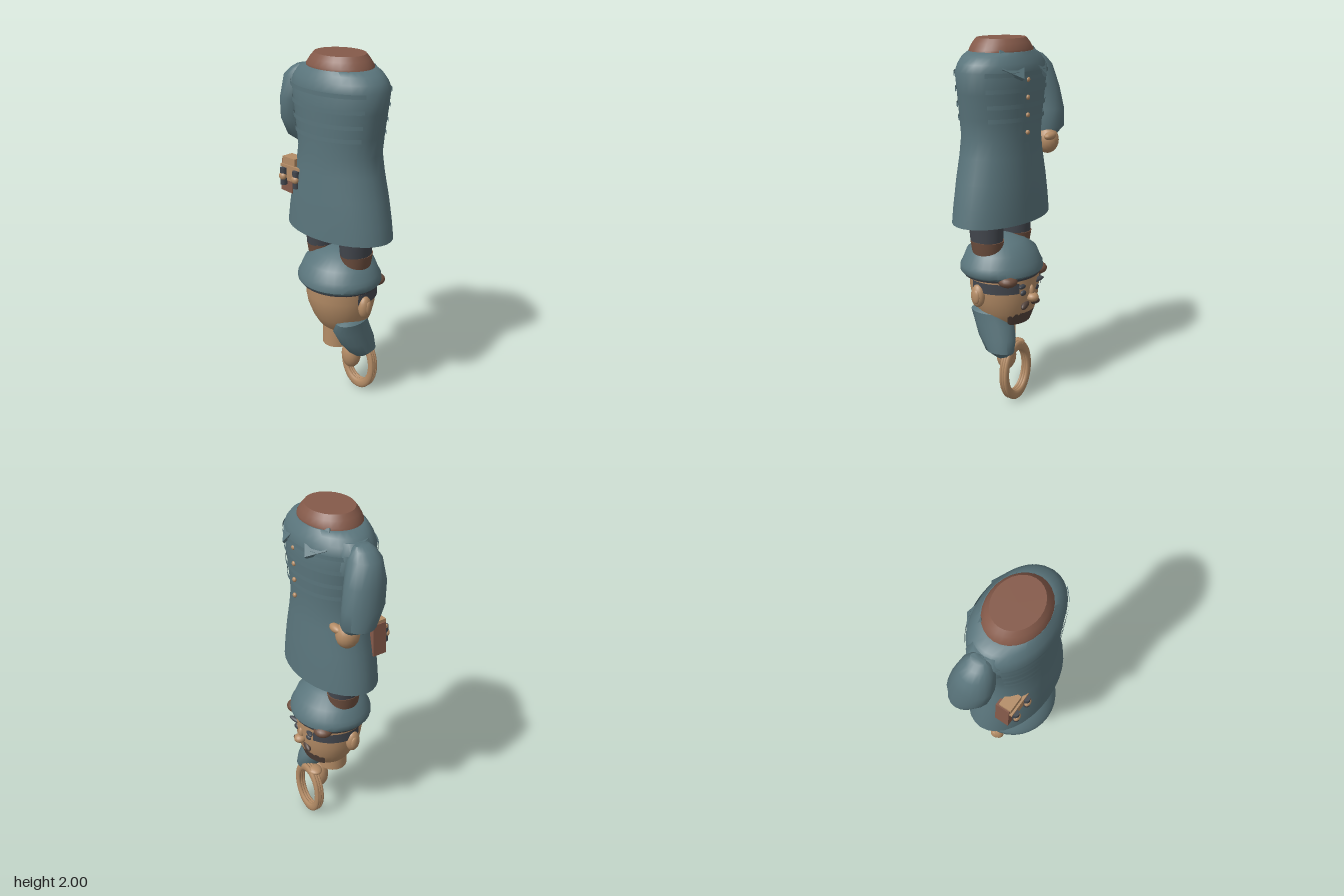
import * as THREE from 'three';
import { toCreasedNormals } from 'three/addons/utils/BufferGeometryUtils.js';

const flat = (name, color, side = THREE.FrontSide) => {
  const m = new THREE.MeshStandardMaterial({ color, side });
  m.name = name;
  return m;
};

export function createModel() {
  const root = new THREE.Group();
  root.name = 'figure';
  const cloth = flat('blue grey cloth', 0x5a757c, THREE.DoubleSide);
  const skin = flat('tan', 0xb48c66);
  const brown = flat('collar brown', 0x855a4a);
  const charcoal = flat('charcoal', 0x43474e, THREE.DoubleSide);
  const boot = flat('boot brown', 0x6e4f3f);
  const stubble = flat('stubble', 0x54443c, THREE.DoubleSide);

  const add = (name, geo, mat, x = 0, y = 0, z = 0) => {
    const m = new THREE.Mesh(geo, mat);
    m.name = name;
    m.position.set(x, y, z);
    root.add(m);
    return m;
  };

  // Closed loft through horizontal ellipses [x, y, z, rx, rz], bottom to top
  const loft = (name, mat, rings, n = 28) => {
    const pos = [], idx = [], top = rings.length - 1;
    for (const [x, y, z, rx, rz] of rings)
      for (let j = 0; j < n; j++) {
        const a = (j / n) * Math.PI * 2;
        pos.push(x + rx * Math.cos(a), y, z + rz * Math.sin(a));
      }
    for (const i of [0, top]) pos.push(...rings[i].slice(0, 3));
    const c = rings.length * n;
    for (let j = 0; j < n; j++) {
      const k = (j + 1) % n;
      for (let i = 0; i < top; i++) {
        const a = i * n + j, b = i * n + k;
        idx.push(a, a + n, b, b, a + n, b + n);
      }
      idx.push(c, j, k, c + 1, top * n + k, top * n + j);
    }
    const g = new THREE.BufferGeometry();
    g.setAttribute('position', new THREE.Float32BufferAttribute(pos, 3));
    g.setIndex(idx);
    return add(name, toCreasedNormals(g, 0.75), mat);
  };

  const ball = (name, mat, x, y, z, rx, ry, rz) => {
    const m = add(name, new THREE.SphereGeometry(1, 18, 12), mat, x, y, z);
    m.scale.set(rx, ry, rz);
    return m;
  };

  // Thin open band on an ellipse; angles in degrees, 0 = +z, 90 = +x
  const band = (name, mat, x, y, z, rx, rz, h, from = 0, to = 360, taper = 1) => {
    const rad = Math.PI / 180;
    const m = add(name, new THREE.CylinderGeometry(1, taper, h, 28, 1, true, from * rad, (to - from) * rad), mat, x, y, z);
    m.scale.set(rx, 1, rz);
    return m;
  };

  const cx = 0.045;

  // Coat, collar and folds
  loft('coat', cloth, [
    [cx, 1.05, 0.01, 0.34, 0.208], [cx, 1.15, 0.01, 0.325, 0.205], [cx, 1.27, 0.01, 0.3, 0.2],
    [cx, 1.4, 0.01, 0.268, 0.19], [cx, 1.5, 0.01, 0.25, 0.186], [cx, 1.6, 0.01, 0.262, 0.19],
    [cx, 1.73, 0.008, 0.283, 0.195], [cx, 1.84, 0.007, 0.3, 0.198], [cx, 1.88, 0.007, 0.28, 0.187],
    [cx, 1.915, 0.008, 0.25, 0.168], [cx, 1.935, 0.008, 0.2, 0.156],
  ], 32);
  loft('collar', brown, [
    [cx, 1.9, 0.01, 0.18, 0.14], [cx, 1.925, 0.01, 0.195, 0.155], [cx, 1.945, 0.01, 0.19, 0.152],
    [cx, 1.975, 0.01, 0.168, 0.138], [cx, 2, 0.01, 0.146, 0.12],
  ]);
  for (const [y, rx, rz] of [[1.83, 0.298, 0.198], [1.75, 0.287, 0.196], [1.67, 0.274, 0.194], [1.6, 0.263, 0.191]])
    for (const mid of [0, 180])
      band('coatFold', cloth, cx, y, 0.008, rx + 0.006, rz + 0.006, 0.022, mid - 62, mid + 62);
  for (const y of [1.8, 1.71, 1.62, 1.53])
    ball('button', skin, 0.08, y, -0.185, 0.013, 0.013, 0.01);

  // Lapels lying on the chest
  for (const s of [-1, 1]) {
    const p = [[0.035, 1.9, -0.16], [0.1, 1.81, -0.208], [0.192, 1.86, -0.14], [0.145, 1.95, -0.09]];
    const v = p.flatMap(([x, y, z]) => [cx + s * x, y, z])
      .concat(p.flatMap(([x, y, z]) => [cx + s * x, y - 0.012, z + 0.012]));
    const g = new THREE.BufferGeometry();
    g.setAttribute('position', new THREE.Float32BufferAttribute(v, 3));
    const f = [0, 1, 2, 0, 2, 3, 4, 6, 5, 4, 7, 6];
    for (let i = 0; i < 4; i++) {
      const k = (i + 1) % 4;
      f.push(i, i + 4, k, k, i + 4, k + 4);
    }
    if (s > 0) f.reverse();
    g.setIndex(f);
    add('lapel', toCreasedNormals(g, 0.3), cloth);
  }

  // Bent arm beside the coat
  loft('rightSleeve', cloth, [
    [-0.265, 1.455, -0.07, 0.045, 0.05], [-0.295, 1.5, -0.055, 0.094, 0.09], [-0.3, 1.6, -0.03, 0.09, 0.115],
    [-0.285, 1.72, -0.01, 0.09, 0.112], [-0.262, 1.84, 0, 0.088, 0.085], [-0.25, 1.88, 0, 0.055, 0.06],
    [-0.245, 1.9, -0.005, 0.025, 0.04],
  ], 18);
  loft('shoulder', cloth, [
    [-0.19, 1.74, 0, 0.06, 0.1], [-0.19, 1.85, 0, 0.08, 0.1], [-0.16, 1.9, 0, 0.07, 0.08],
  ], 16);
  ball('rightHand', skin, -0.25, 1.43, -0.085, 0.06, 0.075, 0.065);
  ball('rightThumb', skin, -0.21, 1.46, -0.13, 0.045, 0.022, 0.025);

  // Pouch with its buckle
  const pouch = add('pouch', new THREE.BoxGeometry(0.085, 0.18, 0.08), brown, -0.205, 1.32, 0.12);
  pouch.rotation.z = -0.06;
  add('pouchFlap', new THREE.BoxGeometry(0.095, 0.045, 0.07), skin, -0.187, 1.405, 0.13);
  add('bucklePlate', new THREE.BoxGeometry(0.08, 0.085, 0.015), skin, -0.165, 1.345, 0.168);
  add('buckleBar', new THREE.BoxGeometry(0.15, 0.015, 0.016), skin, -0.165, 1.38, 0.168);
  for (const x of [-0.21, -0.115]) {
    add('bucklePin', new THREE.CylinderGeometry(0.019, 0.019, 0.095, 10), charcoal, x, 1.325, 0.18);
    ball('buckleKnob', skin, x, 1.325, 0.188, 0.024, 0.022, 0.017);
  }

  // Legs
  for (const s of [-1, 1]) {
    const x = cx + s * 0.127;
    loft('trouserLeg', charcoal, [[x, 0.935, 0.015, 0.081, 0.092], [x, 1.1, 0.02, 0.094, 0.102]]);
    loft('boot', boot, [[x, 0.84, 0.01, 0.068, 0.08], [x, 0.88, 0.012, 0.077, 0.085], [x, 0.938, 0.012, 0.085, 0.095]]);
  }

  // Hat
  loft('hat', cloth, [
    [cx, 0.742, 0.01, 0.23, 0.21], [cx, 0.755, 0.01, 0.241, 0.222], [cx, 0.785, 0.01, 0.241, 0.22],
    [cx, 0.805, 0.01, 0.23, 0.208], [cx, 0.865, 0.01, 0.203, 0.185], [cx, 0.915, 0.01, 0.135, 0.12],
    [cx, 0.938, 0.01, 0.07, 0.06], [cx, 0.945, 0.01, 0.025, 0.022],
  ], 32);
  loft('hatBand', charcoal, [[cx, 0.73, 0.008, 0.222, 0.205], [cx, 0.75, 0.008, 0.232, 0.212]]);

  // Head and neck
  loft('head', skin, [
    [0.04, 0.45, -0.02, 0.12, 0.11], [0.04, 0.475, -0.02, 0.14, 0.133], [0.04, 0.53, -0.015, 0.17, 0.16],
    [0.04, 0.6, -0.008, 0.192, 0.18], [0.04, 0.66, -0.005, 0.2, 0.188], [0.04, 0.75, -0.005, 0.203, 0.188],
  ]);
  loft('neck', skin, [[0.035, 0.345, 0.02, 0.081, 0.08], [0.035, 0.47, 0.02, 0.081, 0.08]]);
  band('stubble', stubble, 0.04, 0.495, -0.018, 0.165, 0.157, 0.07, 130, 230, 0.84);
  for (const s of [-1, 1]) {
    ball('ear', skin, 0.042 + s * 0.205, 0.637, 0.02, 0.032, 0.065, 0.042);
    ball('innerEar', skin, 0.042 + s * 0.228, 0.637, 0.016, 0.013, 0.04, 0.024);
    const [a, b] = s > 0 ? [70, 152] : [208, 290];
    band('hairPatch', charcoal, 0.04, 0.688, -0.005, 0.209, 0.196, 0.058, a, b);
    const lump = ball('hairTuft', boot, cx + s * 0.135, 0.735, -0.13, 0.06, 0.035, 0.055);
    lump.rotation.y = s * 0.6;
    ball('eye', charcoal, cx + s * 0.06, 0.655, -0.18, 0.022, 0.016, 0.012);
    const brow = ball('brow', charcoal, cx + s * 0.07, 0.695, -0.18, 0.045, 0.013, 0.016);
    brow.rotation.set(0, s * 0.35, s * 0.15);
    const tache = ball('moustache', stubble, cx + s * 0.04, 0.58, -0.178, 0.045, 0.02, 0.018);
    tache.rotation.set(0, s * 0.25, -s * 0.2);
  }
  ball('nose', skin, cx, 0.618, -0.198, 0.034, 0.026, 0.036);
  ball('noseBridge', skin, cx, 0.65, -0.188, 0.018, 0.04, 0.02);

  // Lowered arm, hand and coiled rope
  loft('leftSleeve', cloth, [
    [0.145, 0.268, -0.075, 0.035, 0.05], [0.157, 0.31, -0.06, 0.068, 0.088], [0.143, 0.38, -0.03, 0.083, 0.113],
    [0.13, 0.455, 0, 0.09, 0.118], [0.153, 0.525, 0.025, 0.067, 0.105], [0.155, 0.55, 0.03, 0.03, 0.045],
  ], 18);
  ball('leftHand', skin, 0.083, 0.25, -0.05, 0.058, 0.088, 0.055);
  ball('leftFingers', skin, 0.055, 0.325, -0.1, 0.052, 0.022, 0.042);
  for (const z of [-0.1, -0.115, -0.13]) {
    const coil = add('ropeCoil', new THREE.TorusGeometry(0.105, 0.02, 10, 40), skin, 0.087, 0.176, z);
    coil.scale.set(1, 1.4, 0.6);
  }
  return root;
}
